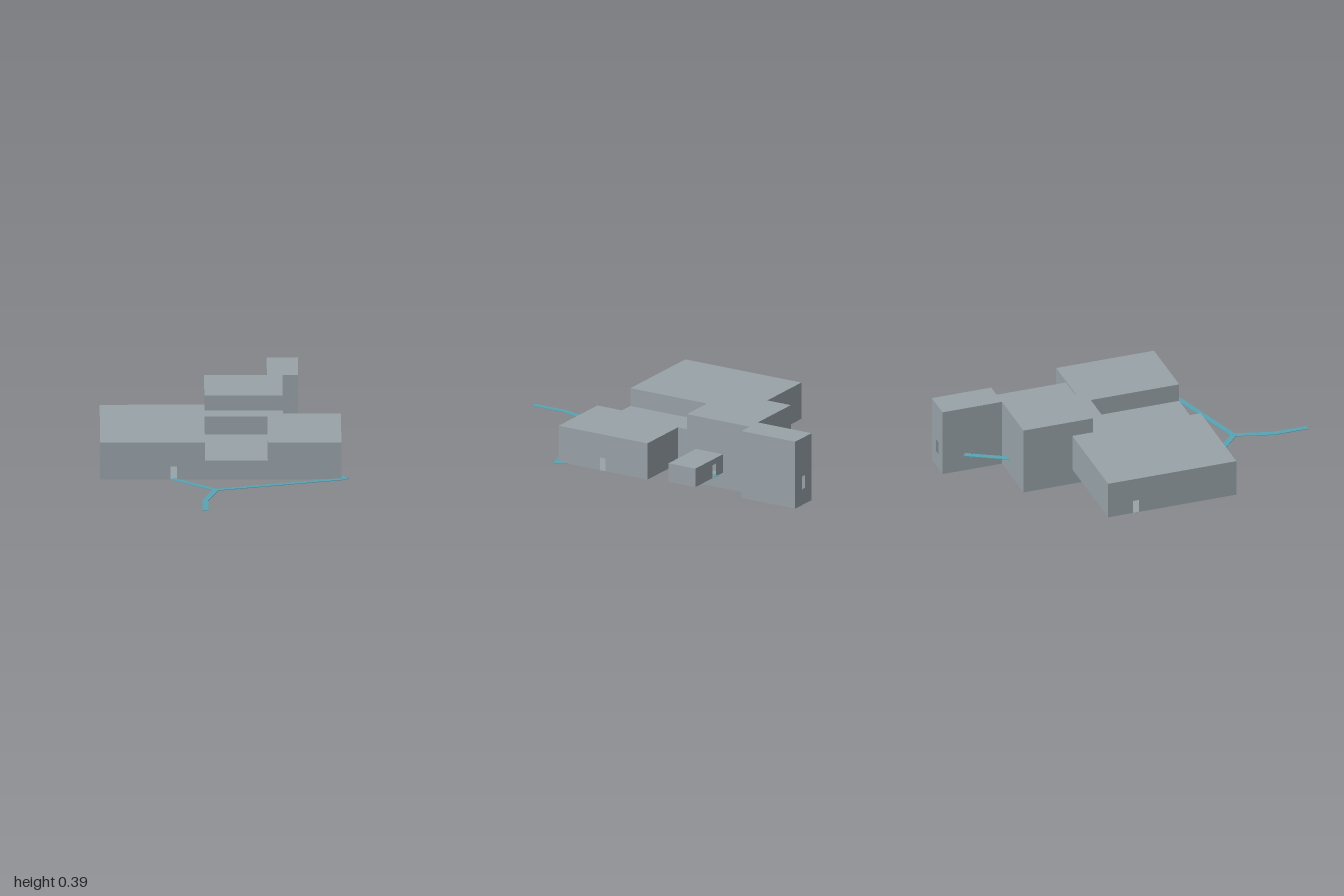
import * as THREE from 'three';

const DOOR_W = 0.035, DOOR_BOTTOM = 0.091, DOOR_TOP = 0.165;

const stone = new THREE.MeshStandardMaterial({ color: 0x98a2a8, side: THREE.DoubleSide });
stone.name = 'grey stone';
const teal = new THREE.MeshStandardMaterial({ color: 0x58a3b3 });
teal.name = 'teal path';

const toShape = (pts) => new THREE.Shape(pts.map(([x, y]) => new THREE.Vector2(x, y)));

// Rectangle outline, walked front, right, back, left
const rect = (x0, x1, z0, z1) => [[x0, z1], [x1, z1], [x1, z0], [x0, z0]];

// Hollow room: floor, roof and one wall per outline edge.
// doors: [edge index, distance along that edge]
function room(name, outline, y0, y1, doors = []) {
  const group = new THREE.Group();
  group.name = name;
  const add = (part, geometry) => {
    const mesh = new THREE.Mesh(geometry, stone);
    mesh.name = part;
    group.add(mesh);
    return mesh;
  };

  const roof = new THREE.ShapeGeometry(toShape(outline.map(([x, z]) => [x, -z])));
  add('roof', roof.rotateX(-Math.PI / 2)).position.y = y1;
  const floor = new THREE.ShapeGeometry(toShape(outline));
  add('floor', floor.rotateX(Math.PI / 2)).position.y = y0;

  outline.forEach(([ax, az], i) => {
    const [bx, bz] = outline[(i + 1) % outline.length];
    const dx = bx - ax, dz = bz - az, length = Math.hypot(dx, dz);
    const shape = toShape([[0, y0], [length, y0], [length, y1], [0, y1]]);
    for (const [edge, u] of doors) {
      if (edge !== i) continue;
      shape.holes.push(toShape([
        [u, DOOR_BOTTOM], [u, DOOR_TOP], [u + DOOR_W, DOOR_TOP], [u + DOOR_W, DOOR_BOTTOM],
      ]));
    }
    const wall = add('wall', new THREE.ShapeGeometry(shape));
    wall.position.set(ax, 0, az);
    wall.rotation.y = Math.atan2(-dz, dx);
  });
  return group;
}

// Flat ribbon with mitred corners along a ground polyline
function path(name, points, width = 0.032) {
  const p = points.map(([x, z]) => new THREE.Vector2(x, -z));
  const left = [], right = [];
  p.forEach((point, i) => {
    const before = p[Math.max(i - 1, 0)], after = p[Math.min(i + 1, p.length - 1)];
    const inDir = (i > 0 ? point.clone().sub(before) : after.clone().sub(point)).normalize();
    const outDir = (i < p.length - 1 ? after.clone().sub(point) : inDir.clone()).normalize();
    const tangent = inDir.clone().add(outDir).normalize();
    const normal = new THREE.Vector2(-tangent.y, tangent.x);
    const reach = width / 2 / Math.max(tangent.dot(inDir), 0.5);
    left.push(point.clone().addScaledVector(normal, reach));
    right.unshift(point.clone().addScaledVector(normal, -reach));
  });
  const geometry = new THREE.ExtrudeGeometry(new THREE.Shape([...left, ...right]), {
    depth: 0.003, bevelEnabled: false,
  });
  geometry.rotateX(-Math.PI / 2);
  const mesh = new THREE.Mesh(geometry, teal);
  mesh.name = name;
  mesh.position.y = 0.0905;
  return mesh;
}

export function createModel() {
  const model = new THREE.Group();
  model.name = 'chamberComplex';

  // Main hall wraps round the sunken front roof
  const hall = [
    [-0.68, 0.38], [-0.107, 0.38], [-0.107, -0.135], [0.237, -0.135], [0.237, 0.38], [0.64, 0.38],
    [0.64, -0.19], [0.322, -0.19], [0.322, -0.248], [-0.107, -0.248], [-0.107, -0.367], [-0.68, -0.367],
  ];
  model.add(
    room('mainHall', hall, 0.09, 0.3, [[0, 0.385], [5, 0.265], [11, 0.145]]),
    room('lowHall', rect(-0.107, 0.237, -0.135, 0.38), 0.09, 0.197),
    room('tallChamber', rect(-0.107, 0.322, -0.652, -0.248), 0, 0.387),
    room('rearChamber', rect(0.237, 0.408, -0.998, -0.652), 0, 0.387, [[2, 0.068], [3, 0.128]]),
    room('sideChamber', rect(0.322, 0.608, -0.48, -0.307), 0.09, 0.197, [[2, 0.178]]),
  );

  // Paths linking the doorways
  model.add(
    path('frontDoorPath', [[-0.285, 0.375], [-0.05, 0.593]]),
    path('cornerPath', [[-0.06, 0.596], [0.668, 0.378]]),
    path('cornerPathEnd', [[0.665, 0.385], [0.63, 0.33]]),
    path('entrancePath', [[-0.047, 0.59], [-0.107, 0.81], [-0.107, 1]]),
    path('rearPath', [[0.265, -0.9], [0.115, -0.63]]),
    path('sideDoorPath', [[0.36, -0.462], [0.405, -0.478]]),
  );
  return model;
}
